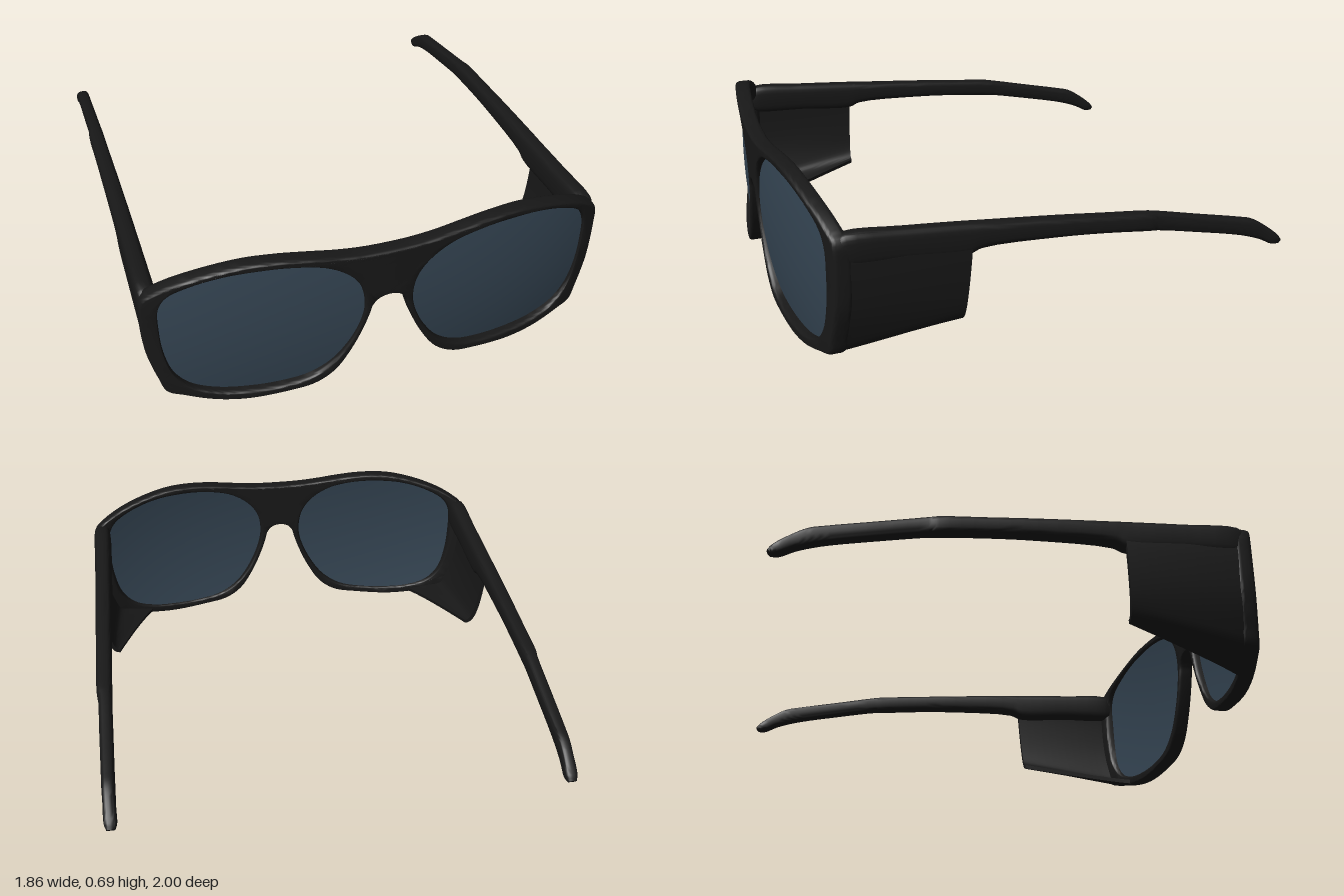
import * as THREE from 'three';
import { toCreasedNormals } from 'three/addons/utils/BufferGeometryUtils.js';

const { lerp } = THREE.MathUtils;
const frameMat = new THREE.MeshStandardMaterial({ color: 0x181818 });
const lensMat = new THREE.MeshStandardMaterial({ color: 0x344452 });

// Wrap of the front: how far the surface falls back at a given x
const wrap = (x) => 0.11 * x * x + 0.05 * x ** 4;

// Smooth curve through [x, y] points, resampled to n points
function smooth(points, n, closed) {
  const curve = new THREE.CatmullRomCurve3(points.map(([x, y]) => new THREE.Vector3(x, y, 0)), closed, 'centripetal');
  const out = [];
  for (let i = 0; i < n; i++) out.push(curve.getPoint(i / (closed ? n : n - 1)));
  return out;
}

// Skin over equal loops of points, with both ends closed
function loft(loops) {
  const n = loops[0].length, last = (loops.length - 1) * n, index = [];
  for (let s = 0; s < loops.length - 1; s++) {
    for (let j = 0; j < n; j++) {
      const a = s * n + j, b = s * n + (j + 1) % n;
      index.push(a, a + n, b, a + n, b + n, b);
    }
  }
  for (let i = 0; i < n / 2 - 1; i++) {
    const p = n - 1 - i, q = n - 2 - i;
    index.push(i, i + 1, q, i, q, p);
    index.push(last + i, last + q, last + i + 1, last + i, last + p, last + q);
  }
  const geo = new THREE.BufferGeometry().setFromPoints(loops.flat());
  geo.setIndex(index);
  return geo;
}

function mirrored(geo) {
  const copy = geo.clone().scale(-1, 1, 1);
  copy.setIndex(Array.from(geo.index.array).reverse());
  return copy;
}

// Halve the longest edge of a triangle until all edges are short enough to bend
function split(a, b, c, max, out) {
  const ab = a.distanceTo(b), bc = b.distanceTo(c), ca = c.distanceTo(a);
  const longest = Math.max(ab, bc, ca);
  if (longest <= max) out.push(a, b, c);
  else if (longest === bc) split(b, c, a, max, out);
  else if (longest === ca) split(c, a, b, max, out);
  else {
    const mid = a.clone().add(b).multiplyScalar(0.5);
    split(a, mid, c, max, out);
    split(mid, b, c, max, out);
  }
}

// Left half of the frame outline, from the brow round to the nose arch
const outline = [
  [0, 0.66], [0.1, 0.662], [0.2, 0.671], [0.3, 0.685], [0.42, 0.697], [0.55, 0.695], [0.68, 0.668],
  [0.8, 0.625], [0.88, 0.58], [0.922, 0.543], [0.93, 0.45], [0.925, 0.3], [0.915, 0.24], [0.888, 0.14],
  [0.862, 0.07], [0.8, 0.049], [0.72, 0.025], [0.65, 0.011], [0.55, 0.004], [0.4, 0.016], [0.29, 0.036],
  [0.21, 0.09], [0.145, 0.19], [0.1, 0.29], [0.076, 0.36], [0.063, 0.405], [0.04, 0.432], [0, 0.443],
];

// Lens outline, counter-clockwise
const lensOutline = [
  [0.098, 0.42], [0.109, 0.34], [0.154, 0.23], [0.225, 0.13], [0.315, 0.071], [0.42, 0.049], [0.55, 0.044],
  [0.67, 0.056], [0.767, 0.094], [0.826, 0.164], [0.856, 0.27], [0.866, 0.4], [0.86, 0.508], [0.826, 0.569],
  [0.738, 0.62], [0.62, 0.655], [0.5, 0.666], [0.38, 0.662], [0.252, 0.634], [0.164, 0.578], [0.115, 0.51],
];

// Front frame: bevelled plate with two openings, bent round the face
function frontGeometry() {
  const right = outline.slice(1, -1).reverse().map(([x, y]) => [-x, y]);
  const shape = new THREE.Shape(smooth([...outline, ...right], 260, true));
  const hole = smooth(lensOutline, 110, true);
  shape.holes.push(new THREE.Path(hole));
  shape.holes.push(new THREE.Path(hole.map((p) => new THREE.Vector3(-p.x, p.y, 0)).reverse()));
  const plate = new THREE.ExtrudeGeometry(shape, {
    depth: 0.029, bevelThickness: 0.018, bevelSize: 0.008, bevelOffset: -0.008, bevelSegments: 4,
  });
  const pos = plate.attributes.position, points = [];
  const corner = (i) => new THREE.Vector3().fromBufferAttribute(pos, i);
  for (let i = 0; i < pos.count; i += 3) split(corner(i), corner(i + 1), corner(i + 2), 0.06, points);
  return new THREE.BufferGeometry().setFromPoints(
    points.map((p) => new THREE.Vector3(p.x, p.y, p.z + 0.953 - wrap(p.x))));
}

// Lens, domed in height: rings grow from the centre of the front to the rim, then back in
function lensGeometry() {
  const rim = smooth(lensOutline, 110, true);
  const ring = (k, z) => rim.map((p) => {
    const x = 0.49 + (p.x - 0.49) * k, y = 0.36 + (p.y - 0.36) * k;
    return new THREE.Vector3(x, y, z - wrap(x) - 0.24 * (y - 0.36) ** 2);
  });
  const scales = [0.02, 0.15, 0.3, 0.45, 0.6, 0.75, 0.9, 1.025];
  return loft([...scales.map((k) => ring(k, 0.988)), ...scales.reverse().map((k) => ring(k, 0.97))]);
}

// Temple arm: [zTop, yTop, zBottom, yBottom, xInner, xOuter] from hinge to tip
const templeRows = [
  [0.85, 0.55, 0.84, 0.45, 0.86, 0.922], [0.82, 0.568, 0.81, 0.44, 0.855, 0.93],
  [0.6, 0.555, 0.6, 0.43, 0.855, 0.93], [0.36, 0.537, 0.36, 0.412, 0.857, 0.93],
  [0.31, 0.532, 0.31, 0.43, 0.858, 0.93],
  [0, 0.505, 0, 0.425, 0.863, 0.93], [-0.2, 0.485, -0.2, 0.41, 0.866, 0.93],
  [-0.38, 0.467, -0.38, 0.39, 0.868, 0.93], [-0.42, 0.46, -0.42, 0.385, 0.869, 0.925],
  [-0.6, 0.42, -0.6, 0.348, 0.87, 0.924], [-0.8, 0.376, -0.77, 0.31, 0.871, 0.923],
  [-0.86, 0.36, -0.84, 0.29, 0.871, 0.923], [-0.92, 0.325, -0.9, 0.267, 0.872, 0.922],
  [-0.985, 0.274, -0.955, 0.239, 0.872, 0.922], [-1, 0.254, -0.985, 0.236, 0.88, 0.914],
];

function templeGeometry() {
  const path = (f) => new THREE.CatmullRomCurve3(templeRows.map(f), false, 'centripetal');
  const top = path((r) => new THREE.Vector3(r[5], r[1], r[0]));
  const bottom = path((r) => new THREE.Vector3(r[4], r[3], r[2]));
  const soft = (v) => Math.sign(v) * Math.abs(v) ** 0.6;
  const loops = [], steps = (templeRows.length - 1) * 4;
  for (let s = 0; s <= steps; s++) {
    const t = top.getPoint(s / steps), b = bottom.getPoint(s / steps), loop = [];
    for (let j = 0; j < 24; j++) {
      const a = (j / 24) * Math.PI * 2;
      const u = (soft(Math.cos(a)) + 1) / 2, v = (soft(Math.sin(a)) + 1) / 2;
      loop.push(new THREE.Vector3(lerp(b.x, t.x, u), lerp(b.y, t.y, v), lerp(b.z, t.z, v)));
    }
    loops.push(loop);
  }
  return loft(loops);
}

// Side shield: thin curved wall that hangs from the temple and curls in below
function shieldGeometry() {
  const n = 24, thick = 0.018, loops = [];
  const front = smooth([[0.67, 0.016], [0.76, 0.038], [0.85, 0.068], [0.882, 0.135], [0.914, 0.25], [0.928, 0.4], [0.926, 0.52]], n);
  const back = smooth([[0.85, 0.122], [0.868, 0.127], [0.888, 0.15], [0.905, 0.2], [0.92, 0.3], [0.928, 0.42], [0.926, 0.5]], n);
  for (let s = 0; s <= 12; s++) {
    const t = s / 12;
    const outer = front.map((p, i) => {
      const x = lerp(p.x, back[i].x, t ** 0.8);
      const y = lerp(p.y, back[i].y, t);
      // rear edge leans back towards the temple
      const zBack = 0.37 - 0.06 * (back[i].y - 0.12);
      return new THREE.Vector3(x, y, lerp(0.96 - wrap(p.x), zBack, t));
    });
    const inner = outer.map((p, i) => {
      const a = outer[Math.max(i - 1, 0)], b = outer[Math.min(i + 1, n - 1)];
      const dx = b.x - a.x, dy = b.y - a.y, k = thick / Math.hypot(dx, dy);
      return new THREE.Vector3(p.x - dy * k, p.y + dx * k, p.z);
    });
    loops.push([...outer, ...inner.reverse()]);
  }
  return loft(loops);
}

export function createModel() {
  const model = new THREE.Group();
  model.name = 'safetyGlasses';
  const add = (name, geo, mat) => {
    const mesh = new THREE.Mesh(toCreasedNormals(geo, 0.7), mat);
    mesh.name = name;
    model.add(mesh);
  };
  const addPair = (name, geo, mat) => {
    add('left' + name, geo, mat);
    add('right' + name, mirrored(geo), mat);
  };
  add('frontFrame', frontGeometry(), frameMat);
  addPair('Lens', lensGeometry(), lensMat);
  addPair('Temple', templeGeometry(), frameMat);
  addPair('SideShield', shieldGeometry(), frameMat);
  return model;
}
